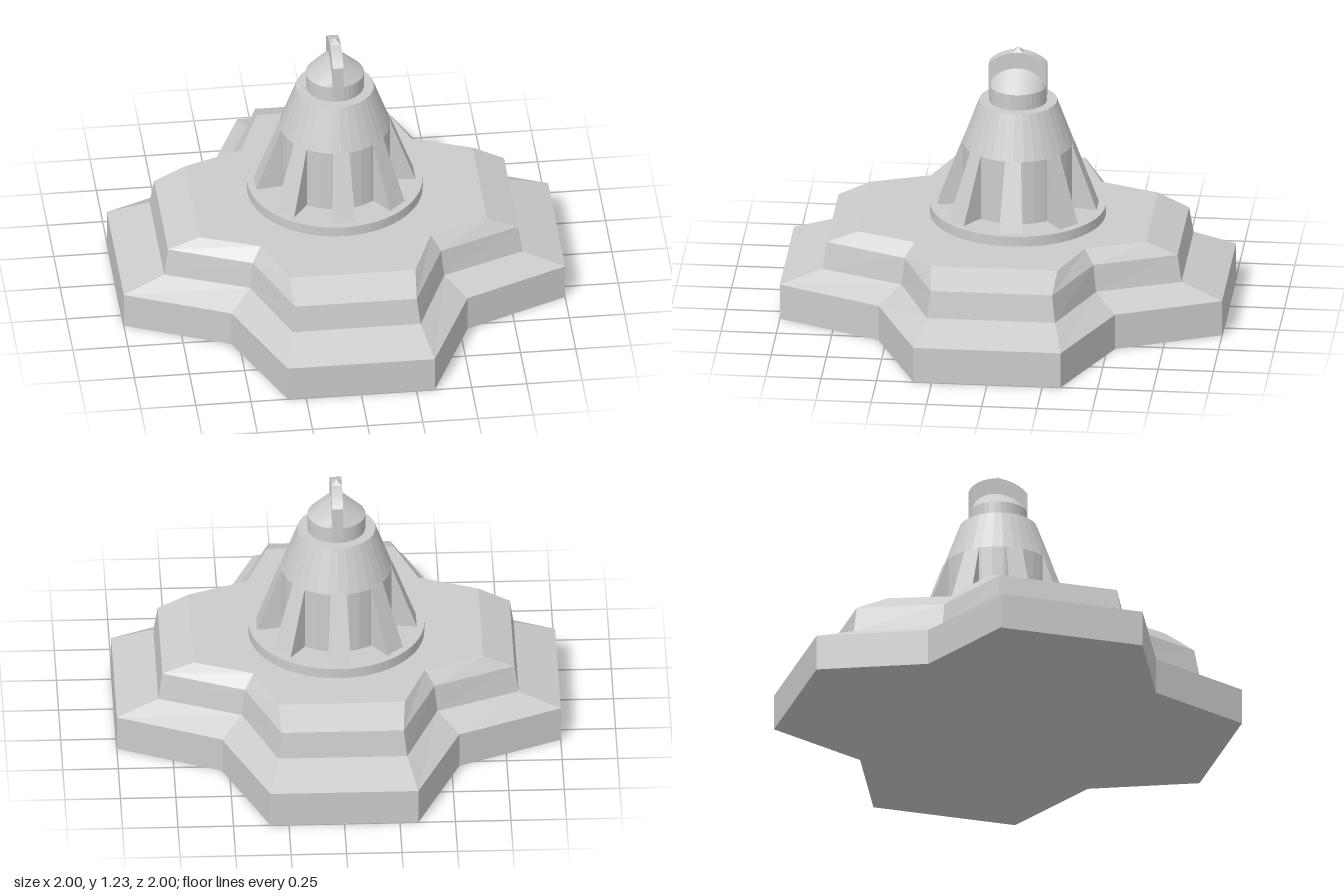
import * as THREE from 'three';
import { ParametricGeometry } from 'three/addons/geometries/ParametricGeometry.js';

const material = new THREE.MeshStandardMaterial({ color: 0xcccccc, flatShading: true, side: THREE.DoubleSide });

function add(parent, name, geometry, x = 0, y = 0, z = 0) {
  const mesh = new THREE.Mesh(geometry, material);
  mesh.name = name;
  mesh.position.set(x, y, z);
  parent.add(mesh);
  return mesh;
}

// Upright round part from y0 to y1
function round(parent, name, r0, r1, y0, y1, sides = 32) {
  return add(parent, name, new THREE.CylinderGeometry(r1, r0, y1 - y0, sides), 0, (y0 + y1) / 2, 0);
}

// Four-armed outline: half width of an arm, its reach, and the corner between arms
function crossRing([y, half, reach, corner]) {
  const ring = [];
  for (let q = 0; q < 4; q++) {
    for (let [x, z] of [[-half, reach], [half, reach], [corner, corner]]) {
      for (let i = 0; i < q; i++) [x, z] = [z, -x];
      ring.push([x, y, z]);
    }
  }
  return ring;
}

// Loft through the outlines, closed at both ends
function crossLoft(levels) {
  const rings = levels.map(crossRing);
  const top = rings[rings.length - 1], bottom = rings[0];
  const n = top.length, p = [];
  const tri = (a, b, c) => p.push(...a, ...b, ...c);
  for (let i = 0; i < n; i++) {
    const j = (i + 1) % n;
    for (let k = 0; k + 1 < rings.length; k++) {
      const lo = rings[k], hi = rings[k + 1];
      tri(lo[i], lo[j], hi[j]);
      tri(lo[i], hi[j], hi[i]);
    }
    tri([0, top[0][1], 0], top[i], top[j]);
    tri([0, bottom[0][1], 0], bottom[j], bottom[i]);
  }
  const g = new THREE.BufferGeometry();
  g.setAttribute('position', new THREE.Float32BufferAttribute(p, 3));
  g.computeVertexNormals();
  return g;
}

// Rib continuing the cone's slope, widening with its distance from the axis
function ribGeometry() {
  const s = new THREE.Shape([[0.2, 0.47], [0.36, 0.47], [0.25, 0.772], [0.2, 0.772]].map(p => new THREE.Vector2(...p)));
  const g = new THREE.ExtrudeGeometry(s, { depth: 2, bevelEnabled: false });
  const p = g.attributes.position;
  for (let i = 0; i < p.count; i++) p.setZ(i, (p.getZ(i) - 1) * p.getX(i) * 0.145);
  g.computeVertexNormals();
  return g;
}

export function createModel() {
  const model = new THREE.Group();
  model.name = 'towerOnCrossBase';

  // Stepped base
  add(model, 'base', crossLoft([
    [0, 0.333, 1, 0.535], [0.167, 0.333, 1, 0.535],
    [0.235, 0.29, 0.812, 0.44], [0.36, 0.275, 0.793, 0.427], [0.422, 0.285, 0.652, 0.386],
  ]));

  // Tower, set slightly back
  const tower = new THREE.Group();
  tower.name = 'tower';
  tower.position.z = -0.046;
  model.add(tower);

  round(tower, 'footDisc', 0.396, 0.396, 0.42, 0.47, 64);
  round(tower, 'core', 0.25, 0.25, 0.47, 0.772);
  round(tower, 'cone', 0.25, 0.176, 0.772, 0.975);
  round(tower, 'collar', 0.131, 0.131, 0.975, 1.05);

  const rib = ribGeometry();
  for (let i = 0; i < 8; i++) add(tower, 'rib', rib).rotation.y = i * Math.PI / 4;

  // Ridged cap: a round arch sloping down to the collar on both sides
  const r = 0.131;
  add(tower, 'cap', new ParametricGeometry((u, v, target) => {
    const a = u * Math.PI, w = r * Math.sin(a), x = w * (2 * v - 1);
    target.set(x, 0.81 * (w - Math.abs(x)), r * Math.cos(a));
  }, 24, 2), 0, 1.05, 0);

  // Fin with an arched top
  const fin = new THREE.Shape();
  fin.moveTo(-r, 1.0);
  fin.lineTo(r, 1.0);
  fin.lineTo(r, 1.155);
  const rise = 0.057, radius = (r * r + rise * rise) / (2 * rise), half = Math.asin(r / radius);
  fin.absarc(0, 1.155 + rise - radius, radius, Math.PI / 2 - half, Math.PI / 2 + half, false);
  fin.closePath();
  const finGeometry = new THREE.ExtrudeGeometry(fin, { depth: 0.05, bevelEnabled: false, curveSegments: 16 });
  finGeometry.translate(0, 0, -0.025).rotateY(Math.PI / 2);
  add(tower, 'fin', finGeometry);

  // Small pyramid on the fin
  const tip = new THREE.ConeGeometry(0.025 * Math.SQRT2, 0.025, 4);
  tip.rotateY(Math.PI / 4);
  add(tower, 'tip', tip, 0, 1.221, 0);

  return model;
}
